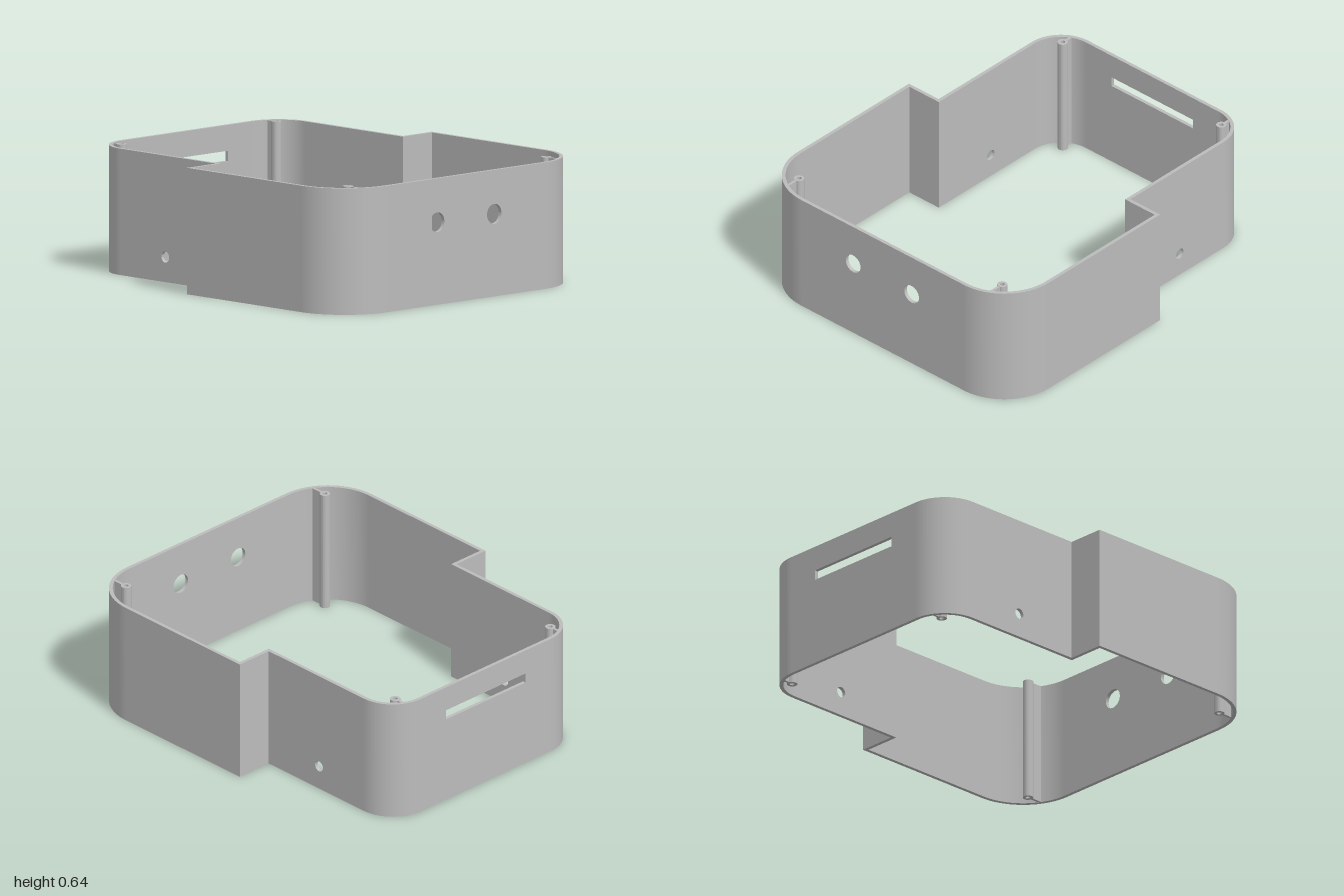
import * as THREE from 'three';
import { toCreasedNormals } from 'three/addons/utils/BufferGeometryUtils.js';

const H = 0.637; // wall height
const T = 0.019; // wall thickness
const STEP_X = -0.117; // where the narrow part meets the wide part

export function createModel() {
  const group = new THREE.Group();
  const grey = new THREE.MeshStandardMaterial({ color: 0xbcbcbc });
  grey.name = 'grey plastic';

  const add = (name, geometry, x = 0, y = 0, z = 0) => {
    const mesh = new THREE.Mesh(geometry, grey);
    mesh.name = name;
    mesh.position.set(x, y, z);
    group.add(mesh);
  };
  const rect = (target, u0, u1, v0, v1) => {
    target.moveTo(u0, v0).lineTo(u1, v0).lineTo(u1, v1).lineTo(u0, v1).closePath();
    return target;
  };
  const roundHole = (u, v, r) => new THREE.Path().absarc(u, v, r, 0, Math.PI * 2, true);
  const extrude = (shape, depth, curveSegments = 24) =>
    toCreasedNormals(new THREE.ExtrudeGeometry(shape, { depth, bevelEnabled: false, curveSegments }), 0.5);
  // Upright wall plate, as thick as the shell, with openings
  const plate = (u0, u1, holes = []) => {
    const shape = rect(new THREE.Shape(), u0, u1, 0, H);
    shape.holes.push(...holes);
    return extrude(shape, T);
  };
  // Plan shape raised to full height
  const raise = (shape) => extrude(shape, H).rotateX(-Math.PI / 2);

  // End walls: two round holes on one, a long slot on the other
  const endHoles = [-0.198, 0.198].map((u) => roundHole(u, 0.416, 0.05));
  add('endWallWithHoles', plate(-0.55, 0.55, endHoles).rotateY(Math.PI / 2), 1 - T);
  const slot = rect(new THREE.Path(), -0.275, 0.275, 0.455, 0.507);
  add('endWallWithSlot', plate(-0.45, 0.45, [slot]).rotateY(Math.PI / 2), -1);

  // Long sides, front and back
  for (const s of [1, -1]) {
    const side = s > 0 ? 'front' : 'back';
    const wallZ = (z) => (s > 0 ? z - T : -z);

    add(side + 'WideWall', plate(STEP_X, 0.7), 0, 0, wallZ(0.85));
    add(side + 'NarrowWall', plate(-0.8, STEP_X, [roundHole(-0.478, 0.126, 0.028)]), 0, 0, wallZ(0.65));
    add(side + 'StepWall', new THREE.BoxGeometry(T, H, 0.2), STEP_X + T / 2, H / 2, s * (0.75 - T));

    // Rounded corners, screw posts and the ribs that hold them
    const corners = [
      { end: 'Wide', cx: 0.7, cz: 0.55, r: 0.3, px: 0.866, pz: 0.688, ribEnd: 0.952, dir: 1 },
      { end: 'Narrow', cx: -0.8, cz: 0.45, r: 0.2, px: -0.906, pz: 0.537, ribEnd: -0.967, dir: -1 },
    ];
    for (const { end, cx, cz, r, px, pz, ribEnd, dir } of corners) {
      // plan angles: front is negative after the shape is raised
      const mid = Math.atan2(-s, dir);
      const a0 = mid - Math.PI / 4;
      const a1 = mid + Math.PI / 4;
      const arc = new THREE.Shape();
      arc.absarc(0, 0, r, a0, a1, false);
      arc.absarc(0, 0, r - T, a1, a0, true);
      arc.closePath();
      add(side + end + 'Corner', raise(arc), cx, 0, s * cz);

      const ring = new THREE.Shape().absarc(0, 0, 0.026, 0, Math.PI * 2, false);
      ring.holes.push(roundHole(0, 0, 0.012));
      add(side + end + 'ScrewPost', raise(ring), px, 0, s * pz);

      const ribStart = px + dir * 0.023;
      const rib = new THREE.BoxGeometry(Math.abs(ribEnd - ribStart), H - 0.002, 0.014);
      add(side + end + 'PostRib', rib, (ribStart + ribEnd) / 2, H / 2, s * pz);
    }
  }
  return group;
}
